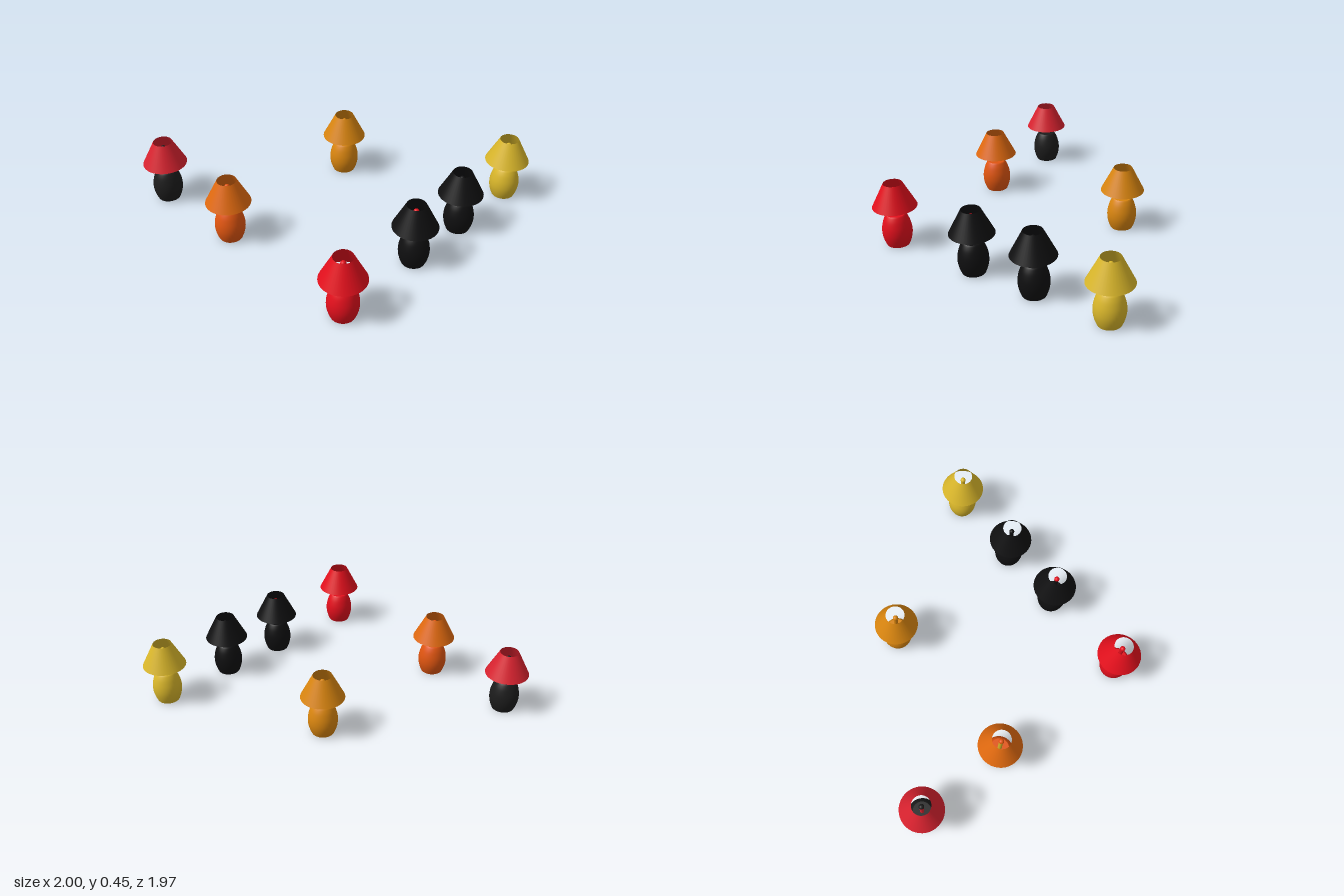
import * as THREE from 'three';

const SIDES = 40;

// Rounded pot: curved side with flat, crisp-edged ends
function bodyGeometry() {
  const side = new THREE.SplineCurve([
    [0.077, 0], [0.089, 0.03], [0.098, 0.065], [0.101, 0.1],
    [0.097, 0.14], [0.084, 0.185], [0.069, 0.215], [0.061, 0.224],
  ].map(([r, y]) => new THREE.Vector2(r, y)));
  return new THREE.LatheGeometry(side.getPoints(24), SIDES);
}

function createParts() {
  const disc = (r, y, up) => new THREE.CircleGeometry(r, SIDES)
    .rotateX(up ? -Math.PI / 2 : Math.PI / 2).translate(0, y, 0);
  return {
    body: bodyGeometry(),
    bodyTop: disc(0.061, 0.224, true),
    bodyBottom: disc(0.077, 0, false),
    stem: new THREE.CylinderGeometry(0.014, 0.014, 0.18, 20).translate(0, 0.31, 0),
    knob: new THREE.SphereGeometry(0.018, 20, 12).translate(0, 0.4, 0),
    shade: new THREE.CylinderGeometry(0.064, 0.149, 0.167, SIDES, 1, true).translate(0, 0.3665, 0),
  };
}

function createLamp(parts, { x, z, shade, body, stem, knob }) {
  const lamp = new THREE.Group();
  lamp.name = 'lamp';
  lamp.position.set(x, 0, z);
  const colors = { shade, body, bodyTop: body, bodyBottom: body, stem, knob };
  for (const [name, geometry] of Object.entries(parts)) {
    const material = new THREE.MeshStandardMaterial({ color: colors[name] });
    // The shade is a thin open cone, seen from inside too
    if (name === 'shade') material.side = THREE.DoubleSide;
    const mesh = new THREE.Mesh(geometry, material);
    mesh.name = name;
    lamp.add(mesh);
  }
  return lamp;
}

export function createModel() {
  const group = new THREE.Group();
  group.name = 'tableLamps';
  const red = 0xe30f1c, crimson = 0xd9222f, black = 0x0f0f10, charcoal = 0x1c1c1c;
  const orange = 0xe0690f, deepOrange = 0xe05510, amber = 0xd9850f, yellow = 0xd9b62a;
  const lamps = [
    { x: -0.851, z: 0.8, shade: crimson, body: charcoal, stem: crimson, knob: charcoal },
    { x: -0.19, z: 0.8, shade: orange, body: deepOrange, stem: yellow, knob: deepOrange },
    { x: -0.19, z: -0.305, shade: amber, body: amber, stem: amber, knob: amber },
    { x: 0.851, z: 0.835, shade: red, body: red, stem: red, knob: red },
    { x: 0.851, z: 0.175, shade: black, body: black, stem: black, knob: red },
    { x: 0.851, z: -0.3, shade: black, body: black, stem: black, knob: black },
    { x: 0.851, z: -0.838, shade: yellow, body: yellow, stem: yellow, knob: yellow },
  ];
  const parts = createParts();
  for (const lamp of lamps) group.add(createLamp(parts, lamp));
  return group;
}
